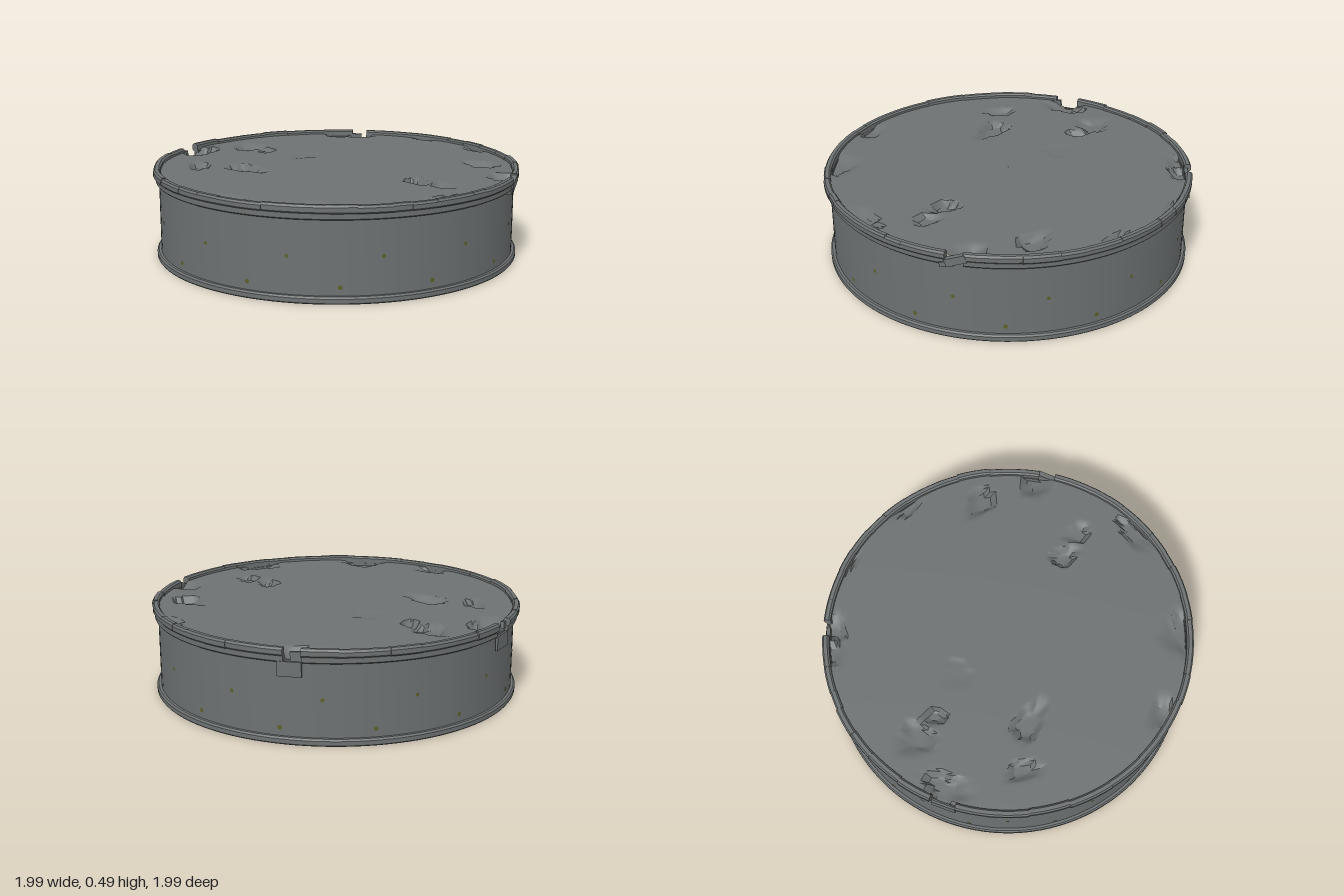
import * as THREE from 'three';
import { toCreasedNormals } from 'three/addons/utils/BufferGeometryUtils.js';

const rad = THREE.MathUtils.degToRad;

// Small seeded random source
function seeded(seed) {
  return () => (seed = (seed * 16807) % 2147483647) / 2147483647;
}

export function createModel() {
  const root = new THREE.Group();
  const random = seeded(4711);
  const metal = new THREE.MeshStandardMaterial({ name: 'grey metal', color: 0x6d7171, side: THREE.DoubleSide });
  const olive = new THREE.MeshStandardMaterial({ name: 'olive rivet', color: 0x5d6028, side: THREE.DoubleSide });

  function add(parent, name, geometry, material = metal) {
    const mesh = new THREE.Mesh(geometry, material);
    mesh.name = name;
    parent.add(mesh);
    return mesh;
  }

  // Closed or open [radius, height] profile swept round the y axis between two angles
  function sweep(parent, name, profile, from = 0, to = 360, closed = true) {
    const pts = profile.map(([r, y]) => new THREE.Vector2(r, y));
    const line = closed ? [...pts, pts[0].clone()] : pts;
    const steps = Math.max(2, Math.ceil((to - from) / 3));
    const lathe = new THREE.LatheGeometry(line, steps, rad(from), rad(to - from));
    add(parent, name, toCreasedNormals(lathe, 0.6));
    if (closed && to - from < 360) {
      for (const a of [from, to]) {
        add(parent, name + 'End', new THREE.ShapeGeometry(new THREE.Shape(pts))).rotation.y = rad(a) - Math.PI / 2;
      }
    }
  }

  // A small part placed on the outside at an angle from the front
  function place(mesh, angle, radius, y, tilt = 0) {
    const a = rad(angle);
    mesh.position.set(radius * Math.sin(a), y, radius * Math.cos(a));
    mesh.rotation.set(0, a, tilt, 'YXZ');
    return mesh;
  }

  // Cylindrical wall, open underneath, with a rolled foot
  sweep(root, 'wall', [[0.968, 0.01], [0.968, 0.425], [0.955, 0.425], [0.955, 0.01]]);
  sweep(root, 'footRim', [[0.955, 0], [0.985, 0], [0.99, 0.006], [0.99, 0.028], [0.982, 0.037], [0.955, 0.037]]);

  // Breaks in the upper rim: [centre angle, half width]
  const breaks = [[36.3, 2.6], [137.8, 2.6], [209.5, 4]];
  const rim = new THREE.Group();
  rim.name = 'brokenRim';
  root.add(rim);

  breaks.forEach(([centre, half], i) => {
    const next = i < 2 ? breaks[i + 1] : [breaks[0][0] + 360, breaks[0][1]];
    const start = centre + half;
    const end = next[0] - next[1];

    // Flange below the rim
    sweep(rim, 'flange', [[0.955, 0.415], [0.982, 0.415], [0.986, 0.42], [0.986, 0.45], [0.955, 0.45]], start, end);

    // Uneven rim pieces of different lengths
    for (let a = start; a < end;) {
      let b = a + 5 + random() * 9;
      if (end - b < 4) b = end;
      const dr = -random() * 0.007;
      const dy = -random() * 0.006;
      sweep(rim, 'rimPiece', [
        [0.963 + dr, 0.447], [0.994 + dr, 0.447], [1 + dr, 0.454], [1 + dr, 0.48 + dy],
        [0.992 + dr, 0.491 + dy], [0.972 + dr, 0.491 + dy], [0.963 + dr, 0.482 + dy],
      ], a, b);
      a = b;
    }
  });

  // Bent fragments and hanging plates at the breaks
  const box = (w, h, d) => new THREE.BoxGeometry(w, h, d);
  place(add(rim, 'bentFragment', box(0.11, 0.04, 0.03)), 36.8, 0.98, 0.445, 0.35);
  place(add(rim, 'bentFragment', box(0.07, 0.025, 0.025)), 34, 0.978, 0.418, 0.2);
  place(add(rim, 'hangingPlate', box(0.12, 0.075, 0.012)), 137, 0.98, 0.382);
  place(add(rim, 'looseBlock', box(0.08, 0.055, 0.02)), 139.5, 0.965, 0.44, 0.05);
  place(add(rim, 'hangingPlate', box(0.13, 0.075, 0.012)), 209.5, 0.98, 0.382);
  place(add(rim, 'looseBlock', box(0.06, 0.035, 0.02)), 213.5, 0.965, 0.45, -0.1);

  // Dents in the lid: [x, z, radius x, radius z, turn, depth]
  const dents = [
    [-0.13, -0.75, 0.10, 0.12, 0, 0.03], [-0.10, -0.60, 0.05, 0.08, 0.5, 0.04],
    [-0.63, -0.43, 0.06, 0.11, 0.5, 0.03], [-0.44, -0.22, 0.08, 0.15, -0.3, 0.035],
    [0.15, 0.54, 0.06, 0.10, 0.2, 0.04], [0.21, 0.68, 0.06, 0.09, 0.1, 0.025],
    [0.70, 0.39, 0.08, 0.12, -0.3, 0.04], [0.00, -0.36, 0.10, 0.10, 0.3, 0.006],
    [-0.45, -0.80, 0.13, 0.11, 0, 0.045], [0.53, -0.77, 0.08, 0.08, 0, 0.03],
    [0.64, -0.68, 0.09, 0.07, 0, 0.04], [0.95, 0.06, 0.05, 0.10, 0, 0.025],
    [-0.87, 0.32, 0.10, 0.09, 0, 0.03], [-0.60, 0.69, 0.13, 0.11, 0.7, 0.03],
    [-0.02, 0.92, 0.14, 0.07, 0, 0.03], [0.60, 0.73, 0.13, 0.09, 0.7, 0.045],
    [0.89, -0.38, 0.04, 0.10, 0, 0.02],
  ];

  // Lid surface pressed down inside each ragged dent
  const lid = new THREE.RingGeometry(0.001, 0.966, 160, 64);
  lid.rotateX(-Math.PI / 2);
  const pos = lid.attributes.position;
  for (let i = 0; i < pos.count; i++) {
    const x = pos.getX(i);
    const z = pos.getZ(i);
    let y = 0.465;
    dents.forEach(([cx, cz, rx, rz, turn, depth], k) => {
      const c = Math.cos(turn), s = Math.sin(turn);
      const u = ((x - cx) * c + (z - cz) * s) / rx;
      const v = ((z - cz) * c - (x - cx) * s) / rz;
      const a = Math.atan2(v, u);
      const edge = 1 + 0.14 * Math.sin(3 * a + k) + 0.08 * Math.sin(7 * a + 2 * k);
      const d = Math.hypot(u, v) / edge;
      const soft = 0.4 + 0.3 * Math.sin(a + k);
      y -= depth * (1 - THREE.MathUtils.smoothstep(d, soft, 1));
    });
    pos.setY(i, y);
  }
  add(root, 'dentedLid', toCreasedNormals(lid, 0.5));

  // Two staggered rows of small rivets, shown outside and inside the wall
  const rivets = new THREE.Group();
  rivets.name = 'rivets';
  root.add(rivets);
  for (const [y, offset, size] of [[0.08, -4.7, 0.013], [0.23, 7.7, 0.011]]) {
    for (let i = 0; i < 13; i++) {
      for (const r of [0.9695, 0.953]) {
        place(add(rivets, 'rivet', new THREE.CircleGeometry(size, 6), olive), offset + i * 360 / 13, r, y);
      }
    }
  }
  return root;
}
